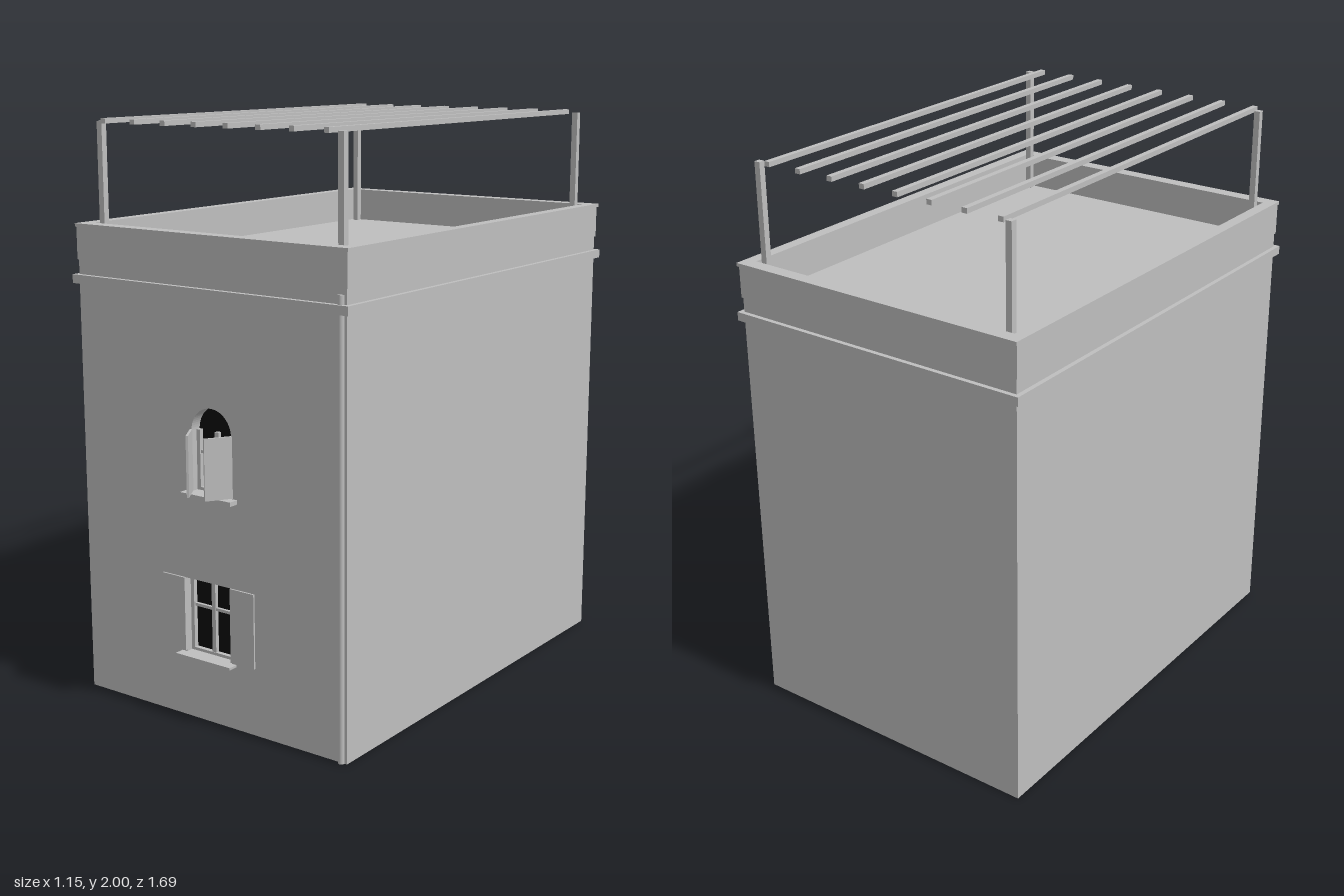
import * as THREE from 'three';

const plaster = new THREE.MeshStandardMaterial({ color: 0xbebebe });
plaster.name = 'grey plaster';
const glass = new THREE.MeshStandardMaterial({ color: 0x0c0c0c });
glass.name = 'black glass';

const FRONT = 0.765, BACK = -0.828, HALF = 0.557, RECESS = 0.045;

export function createModel() {
  const model = new THREE.Group();
  model.name = 'house';

  const add = (name, geometry, material = plaster, parent = model) => {
    const mesh = new THREE.Mesh(geometry, material);
    mesh.name = name;
    parent.add(mesh);
    return mesh;
  };
  // Box given by its limits on each axis
  const box = (name, x0, x1, y0, y1, z0, z1, material, parent) => {
    const mesh = add(name, new THREE.BoxGeometry(x1 - x0, y1 - y0, z1 - z0), material, parent);
    mesh.position.set((x0 + x1) / 2, (y0 + y1) / 2, (z0 + z1) / 2);
    return mesh;
  };
  const trace = (path, points) => {
    points.forEach(([x, y], i) => (i ? path.lineTo(x, y) : path.moveTo(x, y)));
    path.closePath();
    return path;
  };
  const rect = (x0, x1, y0, y1) => [[x0, y0], [x1, y0], [x1, y1], [x0, y1]];

  // Window outlines: a plain rectangle below, a round arch above
  const lower = { x0: -0.11, x1: 0.086, y0: 0.23, y1: 0.493 };
  const upper = { x0: -0.07, x1: 0.098, y0: 0.80, y1: 1.005 };
  const upperMid = (upper.x0 + upper.x1) / 2, archR = (upper.x1 - upper.x0) / 2;
  const lowerOutline = (path) => trace(path, rect(lower.x0, lower.x1, lower.y0, lower.y1));
  const upperOutline = (path) => {
    path.moveTo(upper.x0, upper.y0);
    path.lineTo(upper.x1, upper.y0);
    path.lineTo(upper.x1, upper.y1);
    path.absarc(upperMid, upper.y1, archR, 0, Math.PI, false);
    path.closePath();
    return path;
  };

  // Main block, with a pierced front wall
  box('body', -HALF, HALF, 0, 1.53, BACK, FRONT - RECESS);
  const wall = trace(new THREE.Shape(), rect(-HALF, HALF, 0, 1.53));
  wall.holes.push(lowerOutline(new THREE.Path()), upperOutline(new THREE.Path()));
  add('frontWall', new THREE.ExtrudeGeometry(wall, { depth: RECESS, bevelEnabled: false, curveSegments: 16 }))
    .position.z = FRONT - RECESS;

  // Cornice and roof parapet
  box('cornice', -0.573, 0.573, 1.45, 1.48, -0.844, 0.782);
  const ring = (name, half, back, front, y0, y1) => {
    const shape = trace(new THREE.Shape(), rect(-half, half, -front, -back));
    shape.holes.push(trace(new THREE.Path(), rect(-0.523, 0.523, -0.722, 0.79)));
    const mesh = add(name, new THREE.ExtrudeGeometry(shape, { depth: y1 - y0, bevelEnabled: false }));
    mesh.rotation.x = -Math.PI / 2;
    mesh.position.y = y0;
  };
  ring('parapet', 0.561, -0.832, 0.768, 1.53, 1.64);
  ring('parapetCap', 0.565, -0.838, 0.771, 1.64, 1.652);

  // Pergola posts and slats
  for (const x of [-0.496, 0.496])
    for (const z of [-0.77, 0.7])
      box('pergolaPost', x - 0.011, x + 0.011, 1.53, 1.99, z - 0.011, z + 0.011);
  for (let i = 0; i < 8; i++) {
    const x = -0.471 + i * 0.1313;
    box('pergolaSlat', x - 0.01, x + 0.01, 1.983, 2, -0.785, 0.719);
  }

  // Drainpipe at the front corner
  add('drainpipe', new THREE.CylinderGeometry(0.011, 0.011, 1.51, 12)).position.set(0.536, 0.755, FRONT + 0.002);

  // Windows: pane, frame with glazing bars, sill
  const makeWindow = (name, w, outline, barY, sill) => {
    const group = new THREE.Group();
    group.name = name;
    model.add(group);
    const z = FRONT - RECESS, t = 0.014, mid = (w.x0 + w.x1) / 2;
    add('pane', new THREE.ShapeGeometry(outline(new THREE.Shape()), 16), glass, group).position.z = z + 0.004;
    box('frameLeft', w.x1 - t, w.x1, w.y0, w.y1, z, z + 0.02, plaster, group);
    box('frameRight', w.x0, w.x0 + t, w.y0, w.y1, z, z + 0.02, plaster, group);
    box('frameBottom', w.x0, w.x1, w.y0, w.y0 + 0.01, z, z + 0.02, plaster, group);
    box('mullion', mid - 0.008, mid + 0.008, w.y0, w.y1, z, z + 0.018, plaster, group);
    box('crossbar', w.x0, w.x1, barY - 0.005, barY + 0.005, z, z + 0.015, plaster, group);
    box('sill', sill[0], sill[1], w.y0 - sill[2], w.y0, FRONT - 0.01, 0.8, plaster, group);
    return group;
  };
  const low = makeWindow('lowerWindow', lower, lowerOutline, 0.392, [-0.13, 0.105, 0.008]);
  box('frameTop', lower.x0, lower.x1, lower.y1 - 0.008, lower.y1, FRONT - RECESS, FRONT - RECESS + 0.02, plaster, low);
  const up = makeWindow('upperWindow', upper, upperOutline, 0.93, [-0.096, 0.118, 0.015]);

  // Lower shutters folded flat on the wall, upper ones standing half open
  box('shutterRight', -0.207, lower.x0, 0.235, lower.y1, FRONT - 0.005, FRONT + 0.006, plaster, low);
  box('shutterLeft', lower.x1, 0.186, 0.235, lower.y1, FRONT - 0.005, FRONT + 0.006, plaster, low);
  for (const s of [-1, 1]) {
    const hinge = new THREE.Group();
    hinge.name = s < 0 ? 'shutterRight' : 'shutterLeft';
    hinge.position.set(upperMid + s * 0.086, 0, FRONT);
    hinge.rotation.y = s * 0.57;
    hinge.rotation.y *= -1;
    box('shutterPanel', -0.004, 0.004, 0.803, 1.01, 0, 0.094, plaster, hinge);
    up.add(hinge);
  }
  return model;
}
